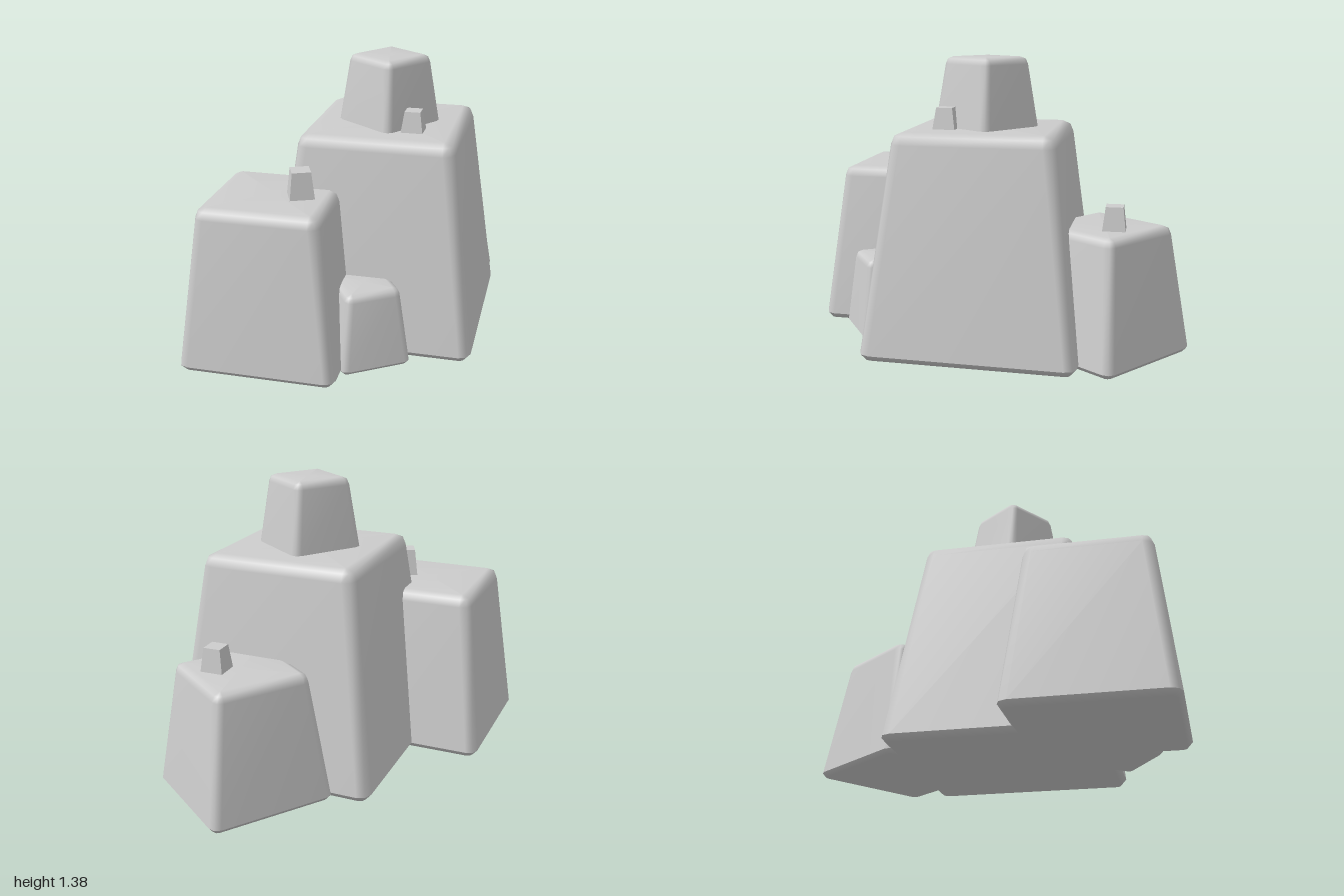
import * as THREE from 'three';

const stone = new THREE.MeshStandardMaterial({ color: 0xcccccc });
stone.name = 'stone grey';
const stoneFaceted = stone.clone();
stoneFaceted.name = 'stone grey faceted';
stoneFaceted.flatShading = true;

// Square ring with rounded corners, three points per corner
function ring(half, radius, y) {
  const points = [];
  for (let c = 0; c < 4; c++) {
    const mid = Math.PI / 4 + c * Math.PI / 2;
    const cx = Math.sign(Math.cos(mid)) * (half - radius);
    const cz = Math.sign(Math.sin(mid)) * (half - radius);
    for (let k = -1; k <= 1; k++) {
      const a = mid + k * Math.PI / 4;
      points.push([cx + radius * Math.cos(a), y, cz + radius * Math.sin(a)]);
    }
  }
  return points;
}

// Tapered block with softly rounded sides and top, and a crisp chamfer under it
function blockGeometry(baseHalf, topHalf, height, bevel) {
  const foot = bevel * 0.55;
  const rings = [
    ring(baseHalf - foot * 0.9, bevel * 0.5, 0),
    ring(baseHalf, bevel, foot),
    ring(baseHalf, bevel, foot), // repeated for a hard edge
    ring(topHalf, bevel, height - bevel),
    ring(topHalf - bevel * 0.3, bevel * 0.7, height - bevel * 0.3),
    ring(topHalf - bevel, bevel * 0.1, height),
  ];
  const n = 12;
  const positions = rings.flat(2);
  const index = [];
  for (let r = 0; r < rings.length - 1; r++) {
    if (r === 1) continue;
    for (let k = 0; k < n; k++) {
      const a = r * n + k, b = r * n + (k + 1) % n;
      index.push(a, a + n, b, b, a + n, b + n);
    }
  }
  // Top and bottom caps
  const bottom = positions.length / 3, top = bottom + 1;
  positions.push(0, 0, 0, 0, height, 0);
  const last = (rings.length - 1) * n;
  for (let k = 0; k < n; k++) {
    const next = (k + 1) % n;
    index.push(bottom, k, next, top, last + next, last + k);
  }
  const geometry = new THREE.BufferGeometry();
  geometry.setAttribute('position', new THREE.Float32BufferAttribute(positions, 3));
  geometry.setIndex(index);
  geometry.computeVertexNormals();
  return geometry;
}

export function createModel() {
  const model = new THREE.Group();
  model.name = 'rockCluster';

  const add = (name, geometry, material, x, y, z, degrees) => {
    const mesh = new THREE.Mesh(geometry, material);
    mesh.name = name;
    mesh.position.set(x, y, z);
    mesh.rotation.y = THREE.MathUtils.degToRad(degrees);
    model.add(mesh);
  };

  // Large rocks: name, base half, top half, height, bevel, x, y, z, turn
  const rocks = [
    ['tallRock', 0.505, 0.38, 1.05, 0.055, 0.185, 0, 0, 38.5],
    ['rightRock', 0.382, 0.297, 0.80, 0.05, -0.485, 0, -0.045, 38.5],
    ['leftRock', 0.302, 0.232, 0.61, 0.04, 0.683, 0, -0.3, 3],
    ['frontRock', 0.175, 0.138, 0.39, 0.035, -0.22, 0, 0.31, -18],
    ['peakRock', 0.187, 0.148, 0.38, 0.035, 0.183, 1.0, 0, 3],
  ];
  for (const [name, base, top, height, bevel, x, y, z, turn] of rocks) {
    add(name, blockGeometry(base, top, height, bevel), stone, x, y, z, turn);
  }

  // Small pebbles: name, base edge, top edge, bottom y, top y, x, z, turn
  const pebbles = [
    ['tallRockPebble', 0.108, 0.076, 1.04, 1.15, 0.15, 0.22, 38.5],
    ['rightRockPebble', 0.12, 0.09, 0.79, 0.93, -0.41, 0.07, -28],
    ['leftRockPebble', 0.108, 0.08, 0.60, 0.72, 0.783, -0.262, 40],
  ];
  for (const [name, base, top, y0, y1, x, z, turn] of pebbles) {
    const geometry = new THREE.CylinderGeometry(top * Math.SQRT1_2, base * Math.SQRT1_2, y1 - y0, 4);
    geometry.rotateY(Math.PI / 4);
    add(name, geometry, stoneFaceted, x, (y0 + y1) / 2, z, turn);
  }
  return model;
}
